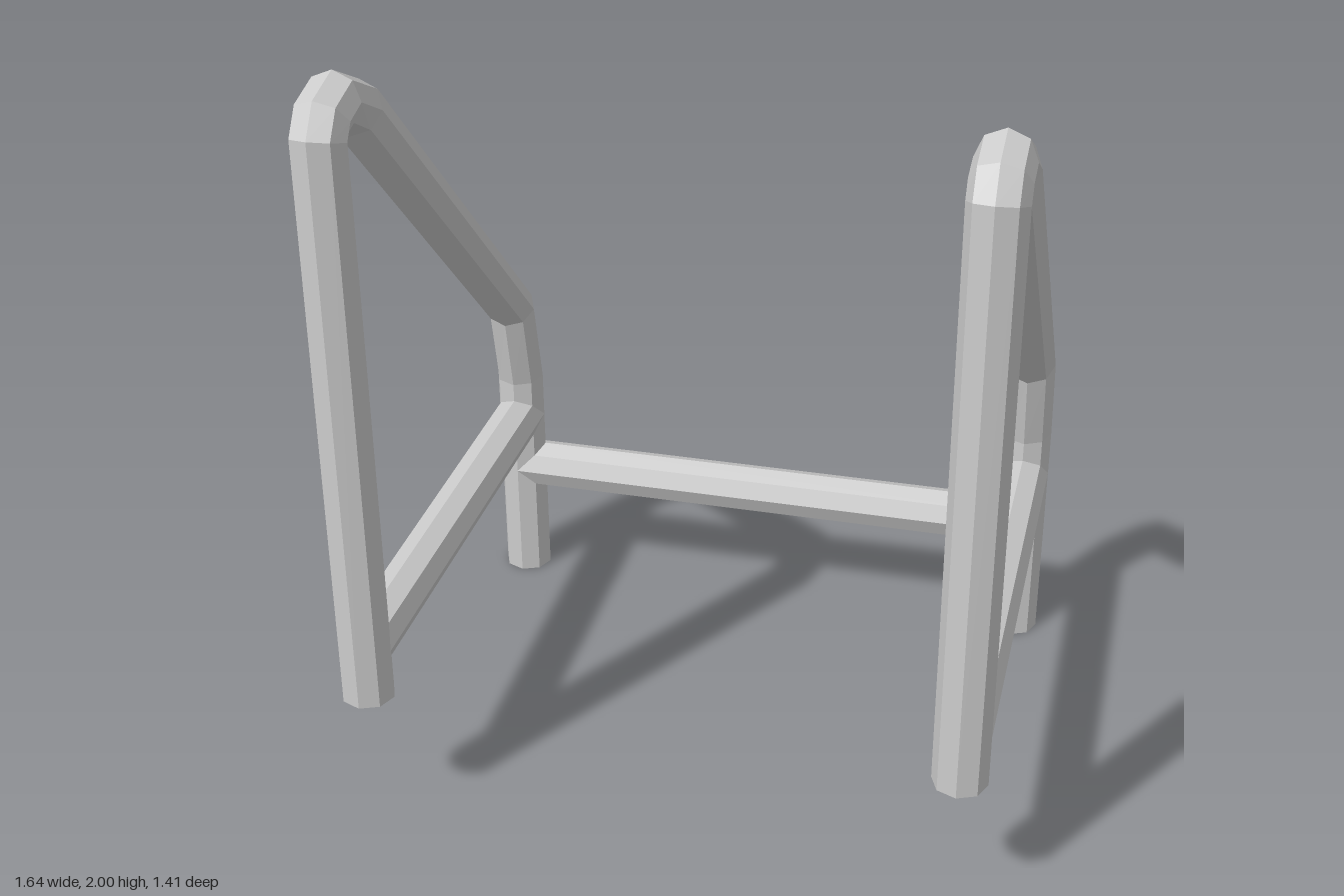
import * as THREE from 'three';

const RADIUS = 0.069;
const SIDES = 8;
const LEG_X = 0.752;
const LEG_Z = 0.634;

const material = new THREE.MeshStandardMaterial({
  color: 0xcccccc, flatShading: true, side: THREE.DoubleSide,
});

// Sweeps an open octagonal tube along straight segments; `across` is perpendicular to the path's plane.
function tube(name, points, across) {
  const positions = [];
  const index = [];
  points.forEach((p, i) => {
    const before = points[Math.max(i - 1, 0)];
    const after = points[Math.min(i + 1, points.length - 1)];
    // Bisect the two neighbouring directions at each bend
    const tangent = new THREE.Vector3();
    if (before !== p) tangent.add(p.clone().sub(before).normalize());
    if (after !== p) tangent.add(after.clone().sub(p).normalize());
    tangent.normalize();
    const inPlane = new THREE.Vector3().crossVectors(tangent, across);
    for (let j = 0; j < SIDES; j++) {
      const angle = (j / SIDES) * Math.PI * 2;
      const v = p.clone()
        .addScaledVector(across, Math.cos(angle) * RADIUS)
        .addScaledVector(inPlane, Math.sin(angle) * RADIUS);
      positions.push(v.x, v.y, v.z);
      if (i < points.length - 1) {
        const a = i * SIDES + j;
        const b = i * SIDES + (j + 1) % SIDES;
        index.push(a, b, b + SIDES, a, b + SIDES, a + SIDES);
      }
    }
  });
  const geometry = new THREE.BufferGeometry();
  geometry.setAttribute('position', new THREE.Float32BufferAttribute(positions, 3));
  geometry.setIndex(index);
  geometry.computeVertexNormals();
  const mesh = new THREE.Mesh(geometry, material);
  mesh.name = name;
  return mesh;
}

// Centre line of a side rail as [z, y]: front leg, rounded top, slope, rear leg
const RAIL_PATH = [
  [LEG_Z, 0.38], [0.632, 1.875], [0.605, 1.915], [0.535, 1.934],
  [0.42, 1.873], [-0.58, 0.893], [-LEG_Z, 0.65], [-LEG_Z, 0],
];

export function createModel() {
  const model = new THREE.Group();
  model.name = 'handrailFrame';
  const xAxis = new THREE.Vector3(1, 0, 0);
  const yAxis = new THREE.Vector3(0, 1, 0);

  // Bent rail and lower brace on each side
  for (const [label, sign] of [['left', 1], ['right', -1]]) {
    const x = sign * LEG_X;
    const side = new THREE.Group();
    side.name = `${label}Side`;
    side.add(
      tube(`${label}Rail`, RAIL_PATH.map(([z, y]) => new THREE.Vector3(x, y, z)), xAxis),
      tube(`${label}Brace`, [
        new THREE.Vector3(x, 0.52, LEG_Z),
        new THREE.Vector3(x, 0.52, -LEG_Z),
      ], xAxis),
    );
    model.add(side);
  }

  // Rear bar joining the two sides
  model.add(tube('rearCrossbar', [
    new THREE.Vector3(-LEG_X, 0.35, -LEG_Z),
    new THREE.Vector3(LEG_X, 0.35, -LEG_Z),
  ], yAxis));

  return model;
}
